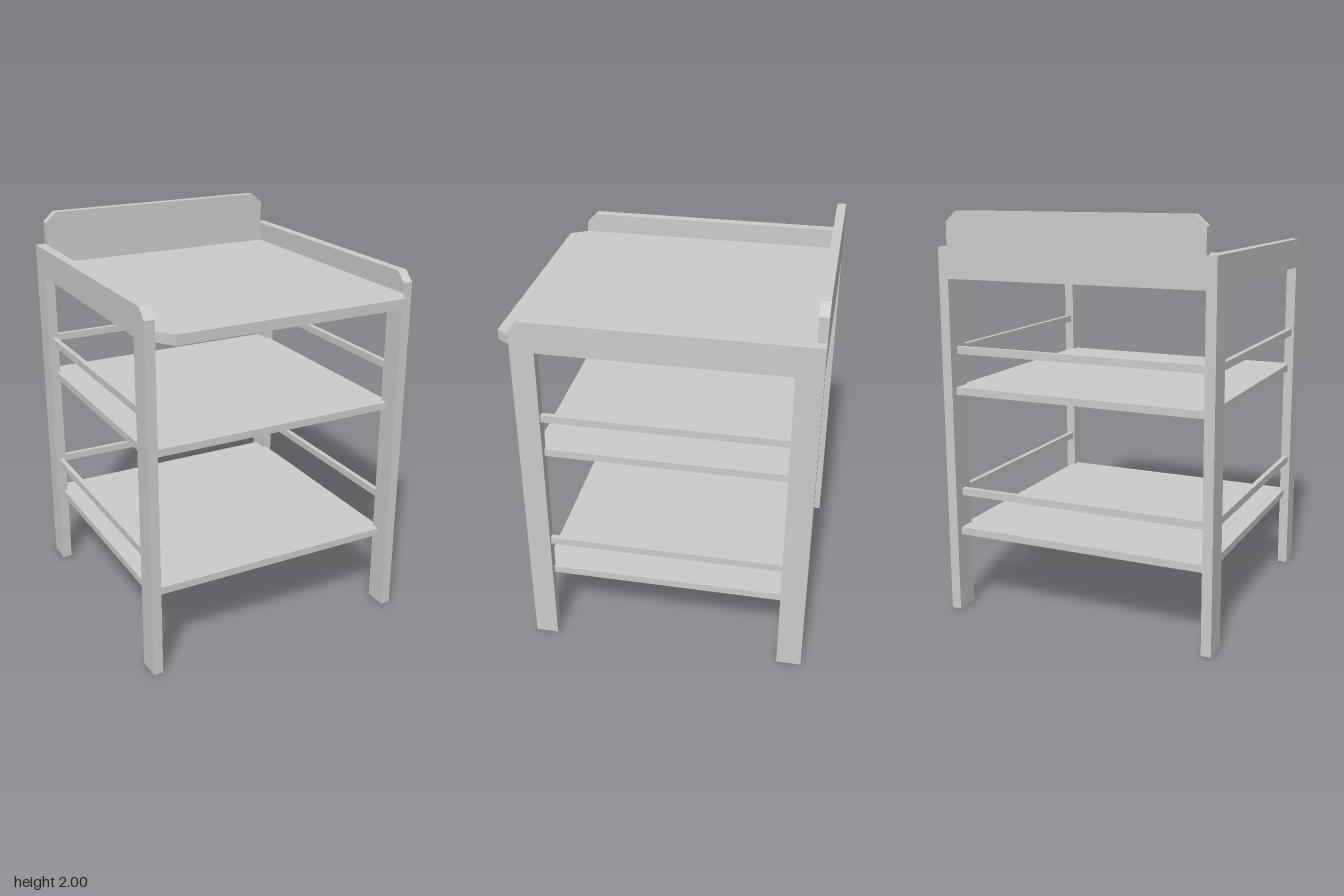
import * as THREE from 'three';

const material = new THREE.MeshStandardMaterial({ color: 0xcccccc, flatShading: true });

// Extrudes a closed outline along its local z
function board(name, points, depth) {
  const shape = new THREE.Shape(points.map(([x, y]) => new THREE.Vector2(x, y)));
  const geometry = new THREE.ExtrudeGeometry(shape, { depth, bevelEnabled: false });
  const mesh = new THREE.Mesh(geometry, material);
  mesh.name = name;
  return mesh;
}

// Box given by its minimum and maximum corners
function bar(name, min, max) {
  const size = max.map((v, i) => v - min[i]);
  const mesh = new THREE.Mesh(new THREE.BoxGeometry(...size), material);
  mesh.position.set(...max.map((v, i) => (v + min[i]) / 2));
  mesh.name = name;
  return mesh;
}

// Horizontal board from an (x, z) outline, between two heights
function flatBoard(name, outline, y0, y1) {
  const mesh = board(name, outline.map(([x, z]) => [x, -z]), y1 - y0);
  mesh.rotation.x = -Math.PI / 2;
  mesh.position.y = y0;
  return mesh;
}

export function createModel() {
  const group = new THREE.Group();
  const front = 0.66, back = -0.745, legFront = 0.545, legBack = -0.62;
  const inner = 0.65, outer = 0.7, under = 1.68, sideTop = 1.83;

  // Side frames: two legs and a top rail with a chamfered front corner (outline in z, y)
  const frame = [
    [front, 0], [front, 1.78], [0.61, sideTop], [back, sideTop], [back, 0],
    [legBack, 0], [legBack, under], [legFront, under], [legFront, 0],
  ];
  for (const [side, x] of [['left', inner], ['right', -outer]]) {
    const mesh = board(side + 'Frame', frame.map(([z, y]) => [-z, y]), outer - inner);
    mesh.rotation.y = Math.PI / 2;
    mesh.position.x = x;
    group.add(mesh);
  }

  // Raised back panel with clipped upper corners
  const panel = board('backPanel', [
    [-inner, under], [inner, under], [inner, 1.95], [0.595, 2], [-0.595, 2], [-inner, 1.95],
  ], 0.045);
  panel.position.z = back;
  group.add(panel);

  // Top board projecting past the front legs
  group.add(flatBoard('topBoard', [
    [-inner, -0.7], [inner, -0.7], [inner, front], [0.595, 0.745], [-0.595, 0.745], [-inner, front],
  ], under, 1.73));

  // Shelves notched around the legs, each with guard rails on the sides and back
  const s = 0.67;
  const shelf = [
    [-inner, -0.71], [inner, -0.71], [inner, legBack], [s, legBack], [s, legFront], [inner, legFront],
    [inner, 0.59], [-inner, 0.59], [-inner, legFront], [-s, legFront], [-s, legBack], [-inner, legBack],
  ];
  for (const [level, y] of [['lower', 0.39], ['upper', 1.11]]) {
    const r0 = y + 0.2, r1 = y + 0.237;
    group.add(flatBoard(level + 'Shelf', shelf, y, y + 0.037));
    group.add(bar(level + 'LeftRail', [0.662, r0, legBack], [0.687, r1, legFront]));
    group.add(bar(level + 'RightRail', [-0.687, r0, legBack], [-0.662, r1, legFront]));
    group.add(bar(level + 'BackRail', [-inner, r0, -0.69], [inner, r1, -0.665]));
  }
  return group;
}
